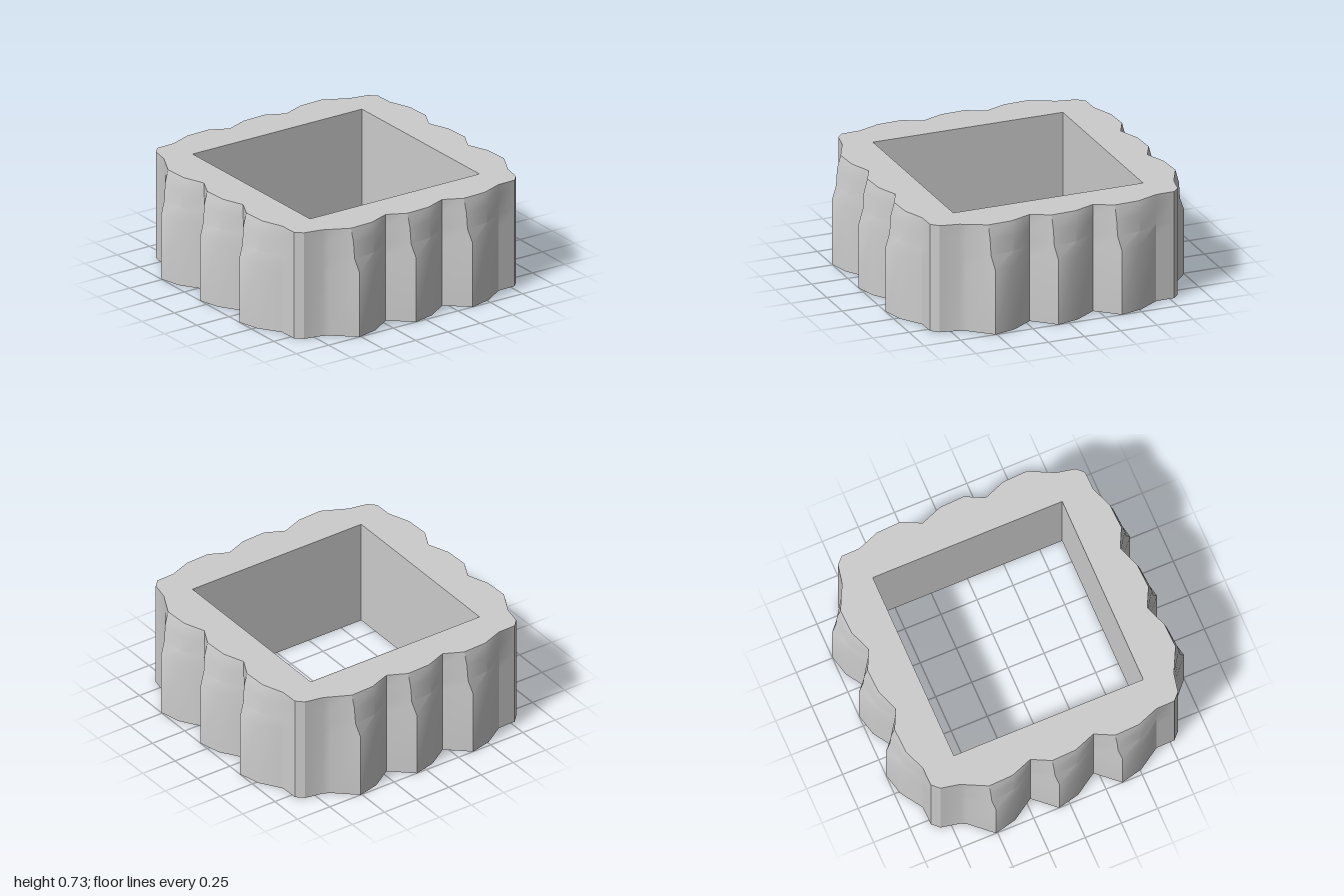
import * as THREE from 'three';
import { toCreasedNormals } from 'three/addons/utils/BufferGeometryUtils.js';

const HOLE = 0.655, NOTCH = 0.87, PITCH = 2 * HOLE / 3;

// Each level: height, crest offset in x, crest depth, shoulder depth of the three flutes
const LEVELS = [
  [0, 0.145, 1.0, 0.965],
  [0.44, 0.145, 1.0, 0.965],
  [0.53, 0.13, 0.965, 0.95],
  [0.64, 0.127, 0.957, 0.945],
  [0.73, 0.125, 0.932, 0.925],
];

// Closed outline [x, z]: one side with its corner, turned four times
function outline([, crestX, crest, shoulder]) {
  const side = [];
  for (let i = 0; i < 3; i++) {
    const x = -HOLE + i * PITCH;
    side.push([x, NOTCH], [x + crestX, crest], [x + PITCH * 2 / 3, shoulder]);
  }
  side.push([HOLE, NOTCH], [0.78, 0.867], [0.825, 0.82], [0.85, 0.695]);
  const ring = [];
  for (let k = 0, pts = side; k < 4; k++) {
    ring.push(...pts);
    pts = pts.map(([x, z]) => [z, -x]);
  }
  return ring;
}

// Wall joining matching rings from bottom to top
function loft(rings, heights, crease) {
  const position = [], index = [], n = rings[0].length;
  rings.forEach((ring, j) => ring.forEach(([x, z]) => position.push(x, heights[j], z)));
  for (let j = 0; j < rings.length - 1; j++) {
    for (let i = 0; i < n; i++) {
      const a = j * n + i, b = j * n + (i + 1) % n;
      index.push(a, b, b + n, a, b + n, a + n);
    }
  }
  const geo = new THREE.BufferGeometry();
  geo.setAttribute('position', new THREE.Float32BufferAttribute(position, 3));
  geo.setIndex(index);
  return toCreasedNormals(geo, crease);
}

// Flat rim with the square opening; dir is 1 for upward, -1 for downward
function rim(ring, hole, dir, y) {
  const to2D = (pts) => pts.map(([x, z]) => new THREE.Vector2(x, -dir * z));
  const shape = new THREE.Shape(to2D(ring));
  shape.holes.push(new THREE.Path(to2D(hole)));
  return new THREE.ShapeGeometry(shape).rotateX(-dir * Math.PI / 2).translate(0, y, 0);
}

export function createModel() {
  const group = new THREE.Group();
  group.name = 'flutedSquareRing';
  const material = new THREE.MeshStandardMaterial({ color: 0xcccccc });
  const add = (name, geo) => {
    const mesh = new THREE.Mesh(geo, material);
    mesh.name = name;
    group.add(mesh);
  };

  const rings = LEVELS.map(outline);
  const heights = LEVELS.map((level) => level[0]);
  const top = heights[heights.length - 1];
  // Runs the opposite way to the outline so the wall faces inward
  const hole = [[-HOLE, HOLE], [-HOLE, -HOLE], [HOLE, -HOLE], [HOLE, HOLE]];

  add('outerWall', loft(rings, heights, 0.5));
  add('innerWall', loft([hole, hole], [0, top], 0.5));
  add('topRim', rim(rings[rings.length - 1], hole, 1, top));
  add('bottomRim', rim(rings[0], hole, -1, 0));
  return group;
}
